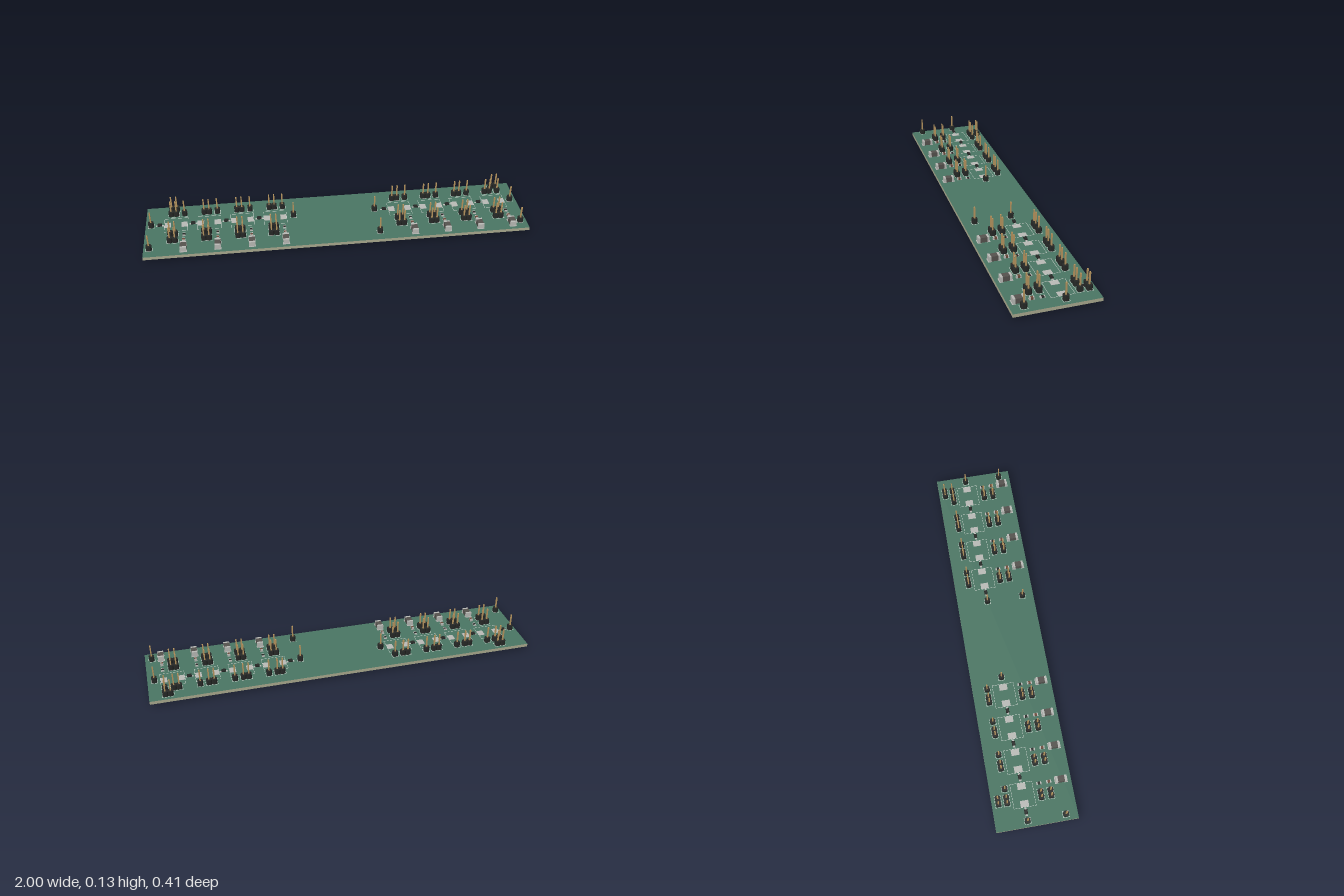
import * as THREE from 'three';

const mat = (color, metalness = 0) => new THREE.MeshStandardMaterial({ color });
const GREEN = mat(0x4a7563), EDGE = mat(0xa9a98e), BLACK = mat(0x262826), GOLD = mat(0xb8965f),
  SILVER = mat(0xb9bab6), WHITE = mat(0xcfd6d0), CERAMIC = mat(0x6b4a3a), GREY = mat(0x55524e);

const TOP = 0.034, BOTTOM = 0.017, PITCH = 0.027;

function add(parent, name, geometry, material, x = 0, y = 0, z = 0) {
  const mesh = new THREE.Mesh(geometry, material);
  mesh.name = name;
  mesh.position.set(x, y, z);
  parent.add(mesh);
  return mesh;
}

function box(parent, name, w, h, d, material, x, y, z) {
  return add(parent, name, new THREE.BoxGeometry(w, h, d), material, x, y, z);
}

function part(parent, name, x, z, y = TOP) {
  const g = new THREE.Group();
  g.name = name;
  g.position.set(x, y, z);
  parent.add(g);
  return g;
}

// Square pin with tapered ends, as a four-sided lathe
const r = 0.0034 * Math.SQRT2;
const pinGeometry = new THREE.LatheGeometry(
  [[0, 0], [r * 0.6, 0], [r, 0.003], [r, 0.123], [r * 0.6, 0.126], [0, 0.126]]
    .map(([a, b]) => new THREE.Vector2(a, b)), 4).rotateY(Math.PI / 4).toNonIndexed();
pinGeometry.computeVertexNormals();
const solderGeometry = new THREE.CylinderGeometry(0.008, 0.008, 0.001, 16);

// Header housing: one chamfered octagonal block per pin, drawn as one outline
function housingGeometry(count) {
  const h = PITCH / 2, c = 0.006, x0 = -count * h, pts = [];
  for (let i = 0; i < count; i++) {
    const x = x0 + i * PITCH;
    pts.push([x, -h + c], [x + c, -h], [x + PITCH - c, -h], [x + PITCH, -h + c]);
  }
  const back = pts.map(([x, y]) => [x, -y]).reverse();
  const shape = new THREE.Shape([...pts, ...back].map(([x, y]) => new THREE.Vector2(x, y)));
  return new THREE.ExtrudeGeometry(shape, { depth: 0.027, bevelEnabled: false }).rotateX(-Math.PI / 2);
}
const housings = { 1: housingGeometry(1), 2: housingGeometry(2) };

// Printed outline made from four thin strips
function outline(parent, x, z, w, d) {
  const g = part(parent, 'printedOutline', x, z);
  for (const s of [-1, 1]) {
    box(g, 'outlineStrip', w, 0.0008, 0.0016, WHITE, 0, 0.0004, s * d / 2);
    box(g, 'outlineStrip', 0.0016, 0.0008, d, WHITE, s * w / 2, 0.0004, 0);
  }
}

function header(parent, count, x, z) {
  const g = part(parent, 'pinHeader', x, z, 0);
  add(g, 'housing', housings[count], BLACK, 0, TOP, 0);
  for (let i = 0; i < count; i++) {
    const px = (i - (count - 1) / 2) * PITCH;
    add(g, 'pin', pinGeometry, GOLD, px, 0, 0);
    add(g, 'solderPad', solderGeometry, GOLD, px, BOTTOM - 0.0005, 0);
  }
  outline(parent, x, z, count * PITCH + 0.005, PITCH + 0.005);
}

// Block component lying along z, with metal end caps
function chip(parent, name, x, z, w, h, l, cap, material) {
  const g = part(parent, name, x, z);
  box(g, 'chipBody', w * 0.96, h * 0.96, l - 2 * cap, material, 0, h / 2, 0);
  for (const s of [-1, 1]) {
    box(g, 'endCap', w, h, cap, SILVER, 0, h / 2, s * (l - cap) / 2);
    box(g, 'solderPad', w * 1.15, 0.001, cap * 1.6, SILVER, 0, 0.0005, s * (l - cap * 0.8) / 2);
  }
}

// Small moulded diode: body tapering up and down from its middle, two flat leads
const diodeGeometry = new THREE.CylinderGeometry(0.8, 1, 1, 4).rotateY(Math.PI / 4).toNonIndexed();
diodeGeometry.scale(Math.SQRT1_2, 1, Math.SQRT1_2);
diodeGeometry.computeVertexNormals();
function diode(parent, x, z) {
  const g = part(parent, 'diode', x, z);
  const upper = add(g, 'diodeBody', diodeGeometry, BLACK, 0, 0.0085, 0);
  upper.scale.set(0.024, 0.007, 0.017);
  const lower = add(g, 'diodeBase', diodeGeometry, BLACK, 0, 0.003, 0);
  lower.scale.set(0.024, 0.004, 0.017);
  lower.rotation.x = Math.PI;
  for (const s of [-1, 1]) {
    box(g, 'lead', 0.009, 0.002, 0.006, SILVER, s * 0.014, 0.0015, 0);
    box(g, 'solderPad', 0.009, 0.001, 0.011, SILVER, s * 0.016, 0.0005, 0);
  }
}

export function createModel() {
  const model = new THREE.Group();
  model.name = 'circuitBoard';

  // Board with coated faces and bare edges
  box(model, 'board', 2, TOP - BOTTOM, 0.414, [EDGE, EDGE, GREEN, GREEN, EDGE, EDGE],
    0, (TOP + BOTTOM) / 2, 0);

  // Eight repeated cells, four on each half
  for (const start of [-0.798, 0.396]) {
    for (let i = 0; i < 4; i++) {
      const x = start + i * 0.174;
      const cell = part(model, 'cell', 0, 0, 0);
      for (const z of [-0.13, 0.044, 0.094]) header(cell, 2, x - 0.057, z);
      header(cell, 1, x, -0.13);
      diode(cell, x - 0.128, -0.045);

      // Bare landing pads with a printed frame
      for (const dx of [-0.087, 0])
        box(cell, 'landingPad', 0.032, 0.0015, 0.042, SILVER, x + dx, TOP + 0.0007, -0.045);
      outline(cell, x - 0.0435, -0.045, 0.122, 0.112);

      chip(cell, 'resistor', x, 0.044, 0.014, 0.006, 0.022, 0.005, BLACK);
      chip(cell, 'smallCapacitor', x, 0.094, 0.014, 0.012, 0.022, 0.005, CERAMIC);
      chip(cell, 'largeCapacitor', x, 0.156, 0.032, 0.027, 0.056, 0.011, GREY);
    }
  }

  // Single-pin terminals near the ends of each half
  for (const [x, z] of [[-0.97, -0.045], [-0.97, 0.147], [-0.222, -0.045],
    [0.215, -0.045], [0.215, 0.147], [0.965, -0.045], [0.965, 0.147]]) header(model, 1, x, z);

  // Supply headers at the back edge
  for (const x of [-0.853, 0.907]) header(model, 2, x, -0.173);

  return model;
}
